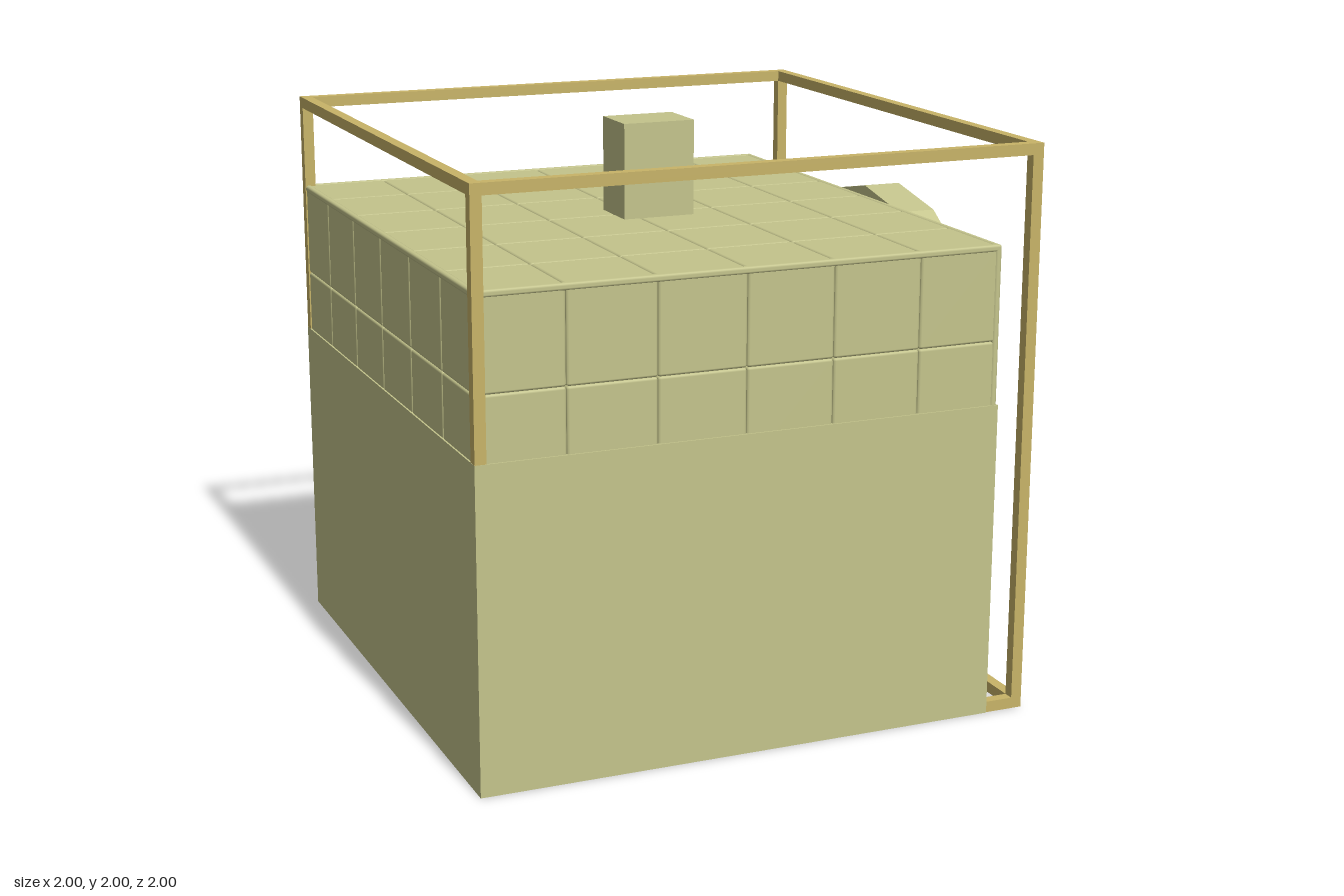
import * as THREE from 'three';
import { RoundedBoxGeometry } from 'three/addons/geometries/RoundedBoxGeometry.js';

export function createModel() {
  const model = new THREE.Group();
  const bodyMat = new THREE.MeshStandardMaterial({ color: 0xc4c48c });
  bodyMat.name = 'paleOlive';
  const frameMat = new THREE.MeshStandardMaterial({ color: 0xc8b468 });
  frameMat.name = 'tan';

  // Box between two corners, rounded when a radius is given
  function box(name, parent, mat, [x0, y0, z0], [x1, y1, z1], radius = 0) {
    const size = [x1 - x0, y1 - y0, z1 - z0];
    const geometry = radius
      ? new RoundedBoxGeometry(...size, 1, radius)
      : new THREE.BoxGeometry(...size);
    const mesh = new THREE.Mesh(geometry, mat);
    mesh.name = name;
    mesh.position.set((x0 + x1) / 2, (y0 + y1) / 2, (z0 + z1) / 2);
    parent.add(mesh);
  }

  // Plain lower body
  box('base', model, bodyMat, [-1, 0, -1], [0.86, 1.115, 1]);

  // Upper body of softened blocks
  const blocks = new THREE.Group();
  blocks.name = 'tiledTop';
  model.add(blocks);
  const xs = [-0.994, -0.69, -0.38, -0.07, 0.24, 0.555, 0.853];
  const ys = [1.0, 1.335, 1.664];
  const zs = [-0.994, -0.667, -0.333, 0, 0.333, 0.667, 0.994];
  for (let i = 0; i < 6; i++)
    for (let j = 0; j < 2; j++)
      for (let k = 0; k < 6; k++)
        box('tile', blocks, bodyMat, [xs[i], ys[j], zs[k]], [xs[i + 1], ys[j + 1], zs[k + 1]], 0.009);

  // Narrow rim along the outer edges of the tiles
  const t = 0.025, left = -0.997, right = 0.857, depth = 0.997, top = 1.667;
  for (const z of [-depth, depth - t]) {
    box('rim', blocks, bodyMat, [left, top - t, z], [right, top, z + t], 0.009);
    for (const x of [left, right - t])
      box('cornerRim', blocks, bodyMat, [x, 1.05, z], [x + t, top, z + t], 0.009);
  }
  for (const x of [left, right - t])
    box('rim', blocks, bodyMat, [x, top - t, -depth], [x + t, top, depth], 0.009);

  // Short post on top
  box('topPost', model, bodyMat, [-0.135, 1.65, -0.1], [0.128, 2, 0.1]);

  // Sixteen-sided disc on the side
  const disc = new THREE.Mesh(new THREE.CylinderGeometry(0.7, 0.7, 0.14, 16).toNonIndexed(), bodyMat);
  disc.geometry.computeVertexNormals();
  disc.name = 'sideDisc';
  disc.rotation.z = -Math.PI / 2;
  disc.position.set(0.93, 1, 0);
  model.add(disc);

  // Open cube frame: four bars along each axis
  const frame = new THREE.Group();
  frame.name = 'frame';
  frame.position.y = 1;
  model.add(frame);
  const o = 0.999, w = 0.039, n = o - w;
  for (const a of [-o, n])
    for (const b of [-o, n]) {
      box('verticalBar', frame, frameMat, [a, -o, b], [a + w, o, b + w]);
      box('crossBar', frame, frameMat, [-n, a, b], [n, a + w, b + w]);
      box('sideBar', frame, frameMat, [a, b, -n], [a + w, b + w, n]);
    }
  return model;
}
